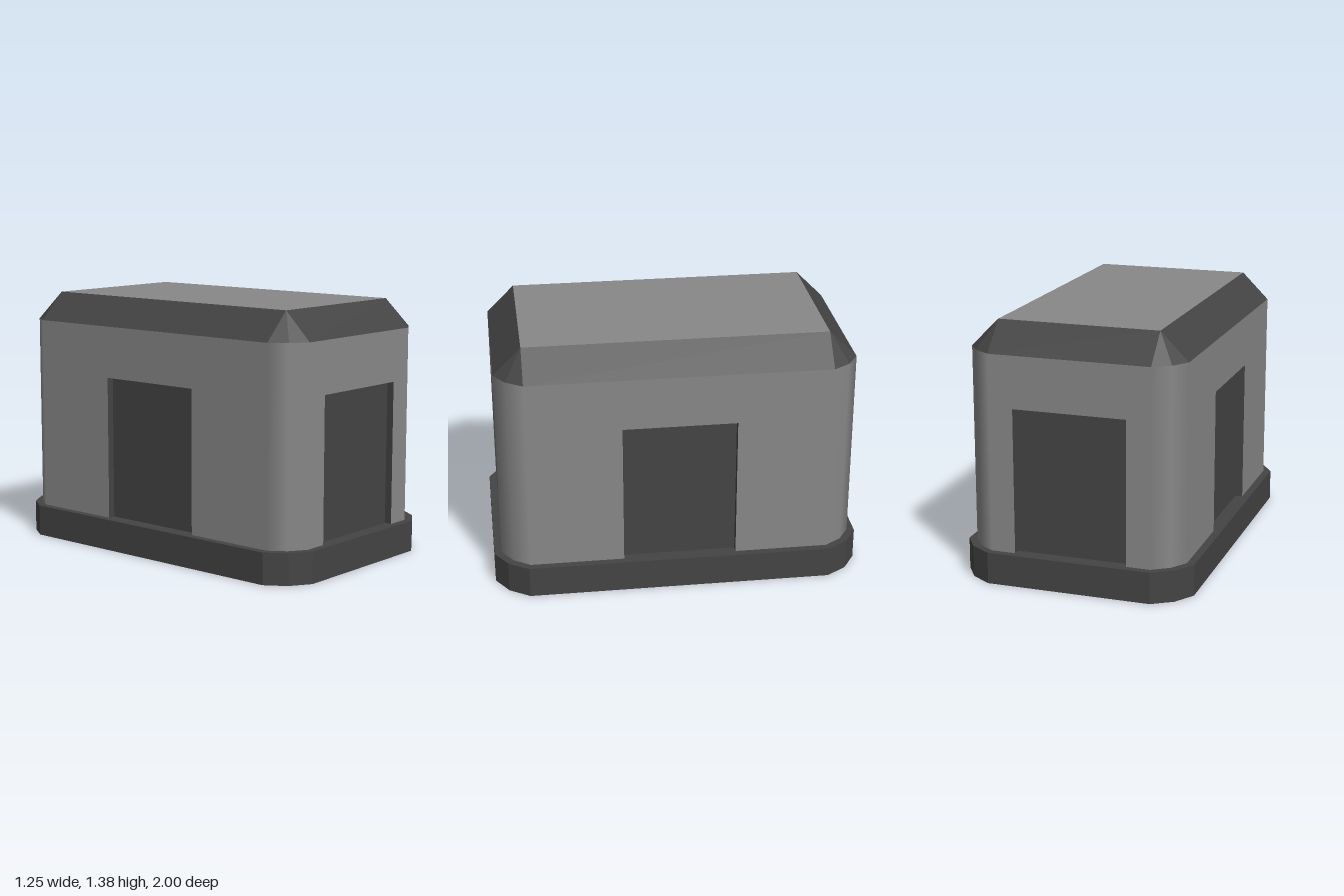
import * as THREE from 'three';

const SILL = 0.17, LINTEL = 0.95, EAVE = 1.23, TOP = 1.38;
const DOOR = 0.305, DEPTH = 0.04;
const WALL_X = 0.585, WALL_Z = 0.96;

const light = new THREE.MeshStandardMaterial({ color: 0x888888, side: THREE.DoubleSide });
const dark = new THREE.MeshStandardMaterial({ color: 0x444444, side: THREE.DoubleSide });

// Mirror one quarter outline (front centre round to the side) into a closed loop
function loop(quarter) {
  const back = [...quarter].reverse();
  return [
    ...quarter.map(([x, z]) => [x, z]),
    ...back.map(([x, z]) => [x, -z]),
    ...quarter.map(([x, z]) => [-x, -z]),
    ...back.map(([x, z]) => [-x, z]),
  ];
}

// Flat-shaded quads between neighbouring loops; each ring is { pts, y }
function skin(rings, skip = () => false) {
  const pos = [];
  for (let r = 0; r + 1 < rings.length; r++) {
    const { pts: a, y: ya } = rings[r], { pts: b, y: yb } = rings[r + 1];
    a.forEach((p, i) => {
      if (skip(r, i)) return;
      const j = (i + 1) % a.length;
      const [p0, p1] = [[p[0], ya, p[1]], [a[j][0], ya, a[j][1]]];
      const [q0, q1] = [[b[i][0], yb, b[i][1]], [b[j][0], yb, b[j][1]]];
      pos.push(...p0, ...p1, ...q1);
      // a collapsed upper edge needs only one triangle
      if (q0[0] !== q1[0] || q0[2] !== q1[2]) pos.push(...p0, ...q1, ...q0);
    });
  }
  const g = new THREE.BufferGeometry();
  g.setAttribute('position', new THREE.Float32BufferAttribute(pos, 3));
  g.computeVertexNormals();
  return g;
}

// Round the wall corners: flat sides keep square normals, corner middles point diagonally
function smoothCorners(g) {
  const p = g.attributes.position, n = g.attributes.normal;
  for (let i = 0; i < p.count; i++) {
    const x = p.getX(i), z = p.getZ(i);
    const onX = Math.abs(x) > WALL_X - 0.001, onZ = Math.abs(z) > WALL_Z - 0.001;
    const v = new THREE.Vector3(onZ ? 0 : Math.sign(x), 0, onX ? 0 : Math.sign(z)).normalize();
    n.setXYZ(i, v.x, v.y, v.z);
  }
  return g;
}

function add(parent, name, geometry, material) {
  const m = new THREE.Mesh(geometry, material);
  m.name = name;
  parent.add(m);
  return m;
}

// Recessed doorway facing +z: back panel, jambs, lintel and sill
function makeDoorway(name) {
  const g = new THREE.Group();
  g.name = name;
  const h = LINTEL - SILL, mid = (LINTEL + SILL) / 2;
  add(g, 'doorPanel', new THREE.PlaneGeometry(2 * DOOR, h), dark).position.set(0, mid, -DEPTH);
  for (const s of [-1, 1]) {
    const jamb = add(g, s > 0 ? 'leftJamb' : 'rightJamb', new THREE.PlaneGeometry(DEPTH, h), dark);
    jamb.position.set(s * DOOR, mid, -DEPTH / 2);
    jamb.rotation.y = -s * Math.PI / 2;
  }
  for (const [part, y, turn] of [['lintel', LINTEL, 1], ['sill', SILL, -1]]) {
    const m = add(g, part, new THREE.PlaneGeometry(2 * DOOR, DEPTH), dark);
    m.position.set(0, y, -DEPTH / 2);
    m.rotation.x = turn * Math.PI / 2;
  }
  return g;
}

export function createModel() {
  const model = new THREE.Group();
  model.name = 'shelter';

  const corner = [[0.435, WALL_Z], [0.525, 0.9], [WALL_X, 0.81]];
  const wallLoop = loop(corner);
  const baseLoop = loop([[0.445, 1], [0.555, 0.93], [0.627, 0.82]]);
  const roofLoop = loop(corner.map(() => [0.435, 0.81]));
  const doorLoop = loop([[DOOR, WALL_Z], ...corner, [WALL_X, DOOR]]);

  // Open-bottomed plinth with a narrow ledge
  add(model, 'base', skin([
    { pts: baseLoop, y: 0 }, { pts: baseLoop, y: SILL }, { pts: wallLoop, y: SILL },
  ]), dark);

  // Walls, leaving an opening in the middle of each side
  add(model, 'walls', smoothCorners(skin([
    { pts: doorLoop, y: SILL }, { pts: doorLoop, y: LINTEL }, { pts: doorLoop, y: EAVE },
  ], (r, i) => r === 0 && i % 5 === 4)), light);

  // Sloping roof edge and flat top
  add(model, 'roofSlope', skin([{ pts: wallLoop, y: EAVE }, { pts: roofLoop, y: TOP }]), dark);
  const top = add(model, 'roofTop', new THREE.PlaneGeometry(0.87, 1.62), light);
  top.rotation.x = -Math.PI / 2;
  top.position.y = TOP;

  // One doorway per side
  ['frontDoorway', 'leftDoorway', 'backDoorway', 'rightDoorway'].forEach((name, i) => {
    const door = makeDoorway(name);
    const a = i * Math.PI / 2;
    door.rotation.y = a;
    door.position.set(Math.sin(a) * WALL_X, 0, Math.cos(a) * WALL_Z);
    model.add(door);
  });

  return model;
}
